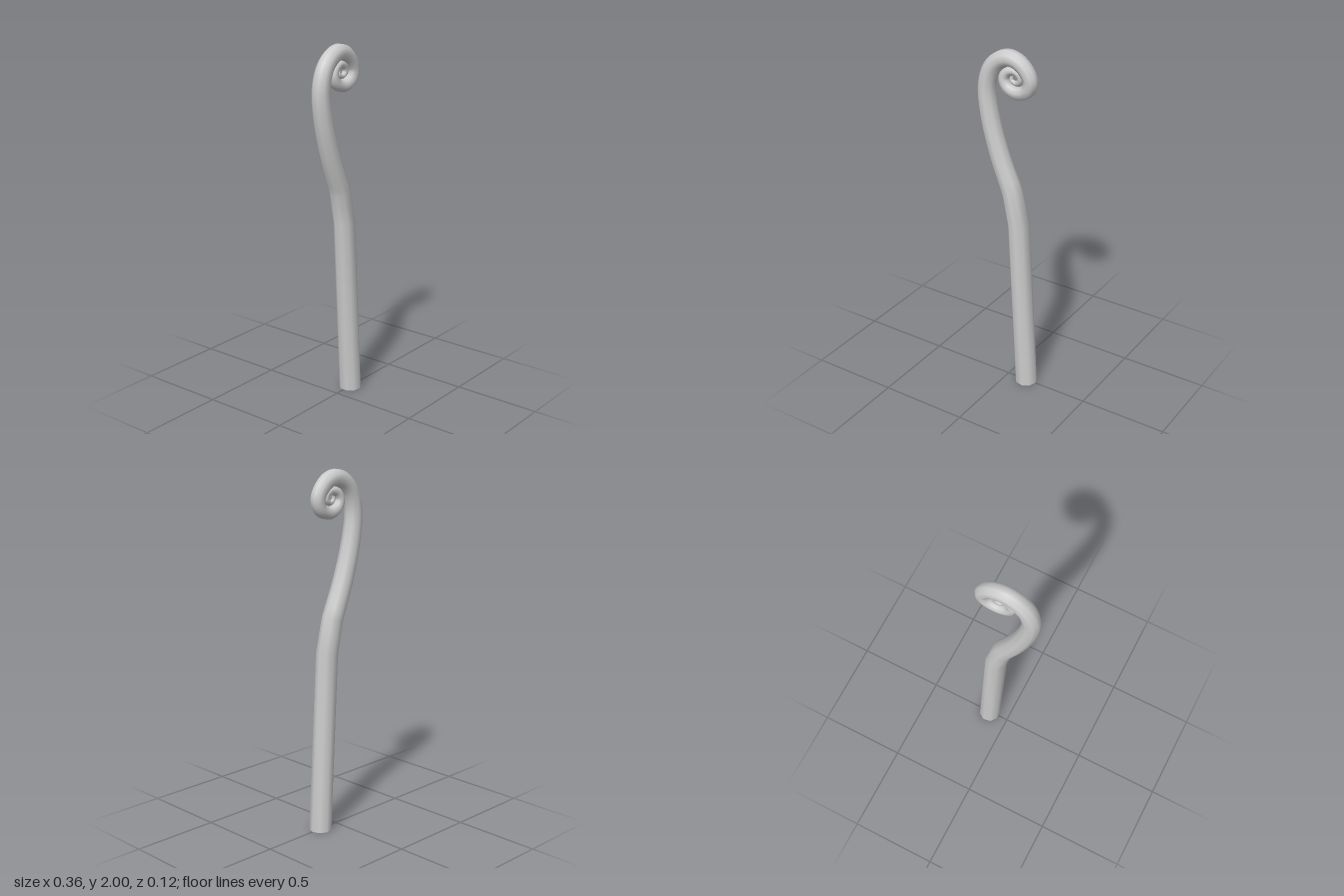
import * as THREE from 'three';

const SIDES = 9;

// Centre line of the curled upper part: x, y, radius
const CROOK = [
  [0.024, 1.195, 0.059], [-0.058, 1.4, 0.056], [-0.115, 1.6, 0.053], [-0.135, 1.75, 0.05],
  [-0.122, 1.835, 0.049], [-0.092, 1.895, 0.048], [-0.045, 1.937, 0.047], [0.01, 1.953, 0.046],
  [0.067, 1.937, 0.044], [0.113, 1.893, 0.042], [0.132, 1.845, 0.04], [0.111, 1.793, 0.038],
  [0.05, 1.77, 0.035], [-0.008, 1.79, 0.032], [-0.031, 1.835, 0.029], [-0.012, 1.873, 0.025],
  [0.03, 1.887, 0.021], [0.062, 1.872, 0.019], [0.07, 1.843, 0.017], [0.045, 1.822, 0.014],
  [0.018, 1.834, 0.011], [0.016, 1.852, 0.008],
];

// Rings along the whole staff: two for the straight shaft, then the sampled curl
function makeRings() {
  const rings = [
    { p: new THREE.Vector3(0.12, 0, 0), r: 0.063 },
    { p: new THREE.Vector3(0.065, 1.01, 0), r: 0.061 },
  ];
  const curve = new THREE.CatmullRomCurve3(CROOK.map(([x, y]) => new THREE.Vector3(x, y, 0)));
  const spans = CROOK.length - 1;
  const steps = spans * 4;
  for (let i = 0; i <= steps; i++) {
    const f = (i / steps) * spans;
    const k = Math.min(Math.floor(f), spans - 1);
    rings.push({
      p: curve.getPoint(i / steps),
      r: THREE.MathUtils.lerp(CROOK[k][2], CROOK[k + 1][2], f - k),
    });
  }
  // Each ring faces along the bisector of its neighbouring segments; the foot lies flat
  rings.forEach((ring, i) => {
    const t = new THREE.Vector3();
    if (i > 0) t.add(ring.p.clone().sub(rings[i - 1].p).normalize());
    if (i < rings.length - 1) t.add(rings[i + 1].p.clone().sub(ring.p).normalize());
    if (i === 0) t.set(0, 1, 0);
    t.normalize();
    ring.n = new THREE.Vector3(t.y, -t.x, 0);
  });
  return rings;
}

function ringPoint({ p, r, n }, j) {
  const a = (j / SIDES) * Math.PI * 2;
  return [p.x + n.x * r * Math.cos(a), p.y + n.y * r * Math.cos(a), -r * Math.sin(a)];
}

function makeGeometry(positions, index) {
  const g = new THREE.BufferGeometry();
  g.setAttribute('position', new THREE.Float32BufferAttribute(positions, 3));
  g.setIndex(index);
  g.computeVertexNormals();
  return g;
}

// Smooth skin through all rings
function sweep(rings) {
  const pos = [], index = [];
  rings.forEach((ring, i) => {
    for (let j = 0; j < SIDES; j++) {
      pos.push(...ringPoint(ring, j));
      if (i === rings.length - 1) continue;
      const a = i * SIDES + j, b = i * SIDES + ((j + 1) % SIDES);
      index.push(a, b, a + SIDES, b, b + SIDES, a + SIDES);
    }
  });
  return makeGeometry(pos, index);
}

// Flat lid on a ring
function cap(ring, flip) {
  const pos = [...ring.p.toArray()], index = [];
  for (let j = 0; j < SIDES; j++) {
    pos.push(...ringPoint(ring, j));
    const a = j + 1, b = ((j + 1) % SIDES) + 1;
    index.push(0, flip ? b : a, flip ? a : b);
  }
  return makeGeometry(pos, index);
}

export function createModel() {
  const group = new THREE.Group();
  group.name = 'curledStaff';
  const material = new THREE.MeshStandardMaterial({ color: 0xcccccc });
  const rings = makeRings();
  const add = (name, geometry) => {
    const mesh = new THREE.Mesh(geometry, material);
    mesh.name = name;
    group.add(mesh);
  };
  add('staff', sweep(rings));
  add('footCap', cap(rings[0], true));
  add('tipCap', cap(rings[rings.length - 1], false));
  return group;
}
